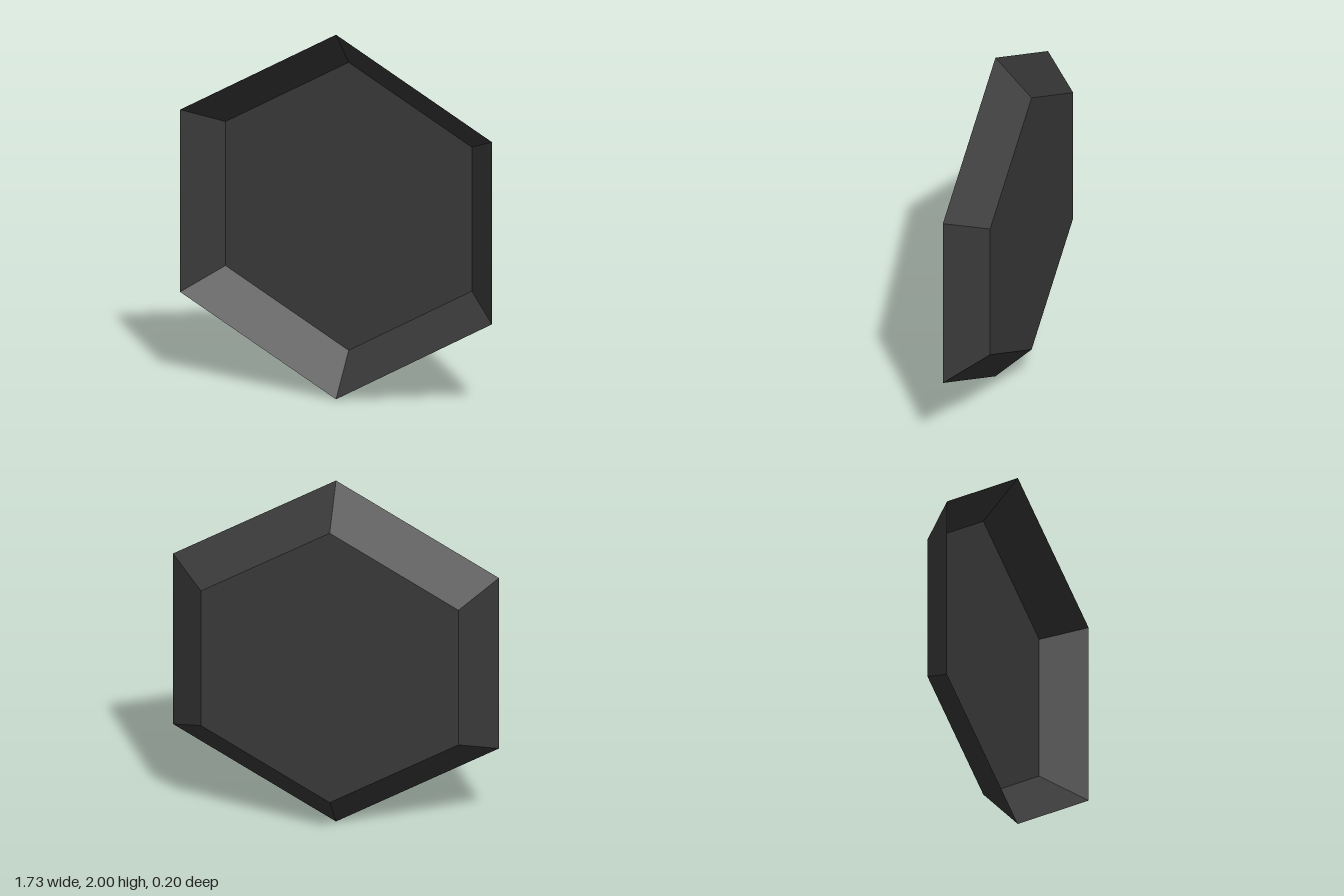
import * as THREE from 'three';

export function createModel() {
  const model = new THREE.Group();
  model.name = 'hexagonalTray';
  const charcoal = new THREE.MeshStandardMaterial({ color: 0x3a3a3a, flatShading: true, side: THREE.DoubleSide });
  charcoal.name = 'charcoal';

  const rimRadius = 1, baseRadius = 0.79, depth = 0.2;

  // Thin flared walls, open towards the front, with corners at top and bottom
  const wallGeometry = new THREE.CylinderGeometry(rimRadius, baseRadius, depth, 6, 1, true);
  wallGeometry.rotateX(Math.PI / 2);
  const walls = new THREE.Mesh(wallGeometry, charcoal);
  walls.name = 'flaredWalls';
  walls.position.y = 1;

  // Flat hexagonal panel closing the back
  const panel = new THREE.Mesh(new THREE.CircleGeometry(baseRadius, 6, Math.PI / 2), charcoal);
  panel.name = 'backPanel';
  panel.position.set(0, 1, -depth / 2);

  model.add(walls, panel);
  return model;
}
